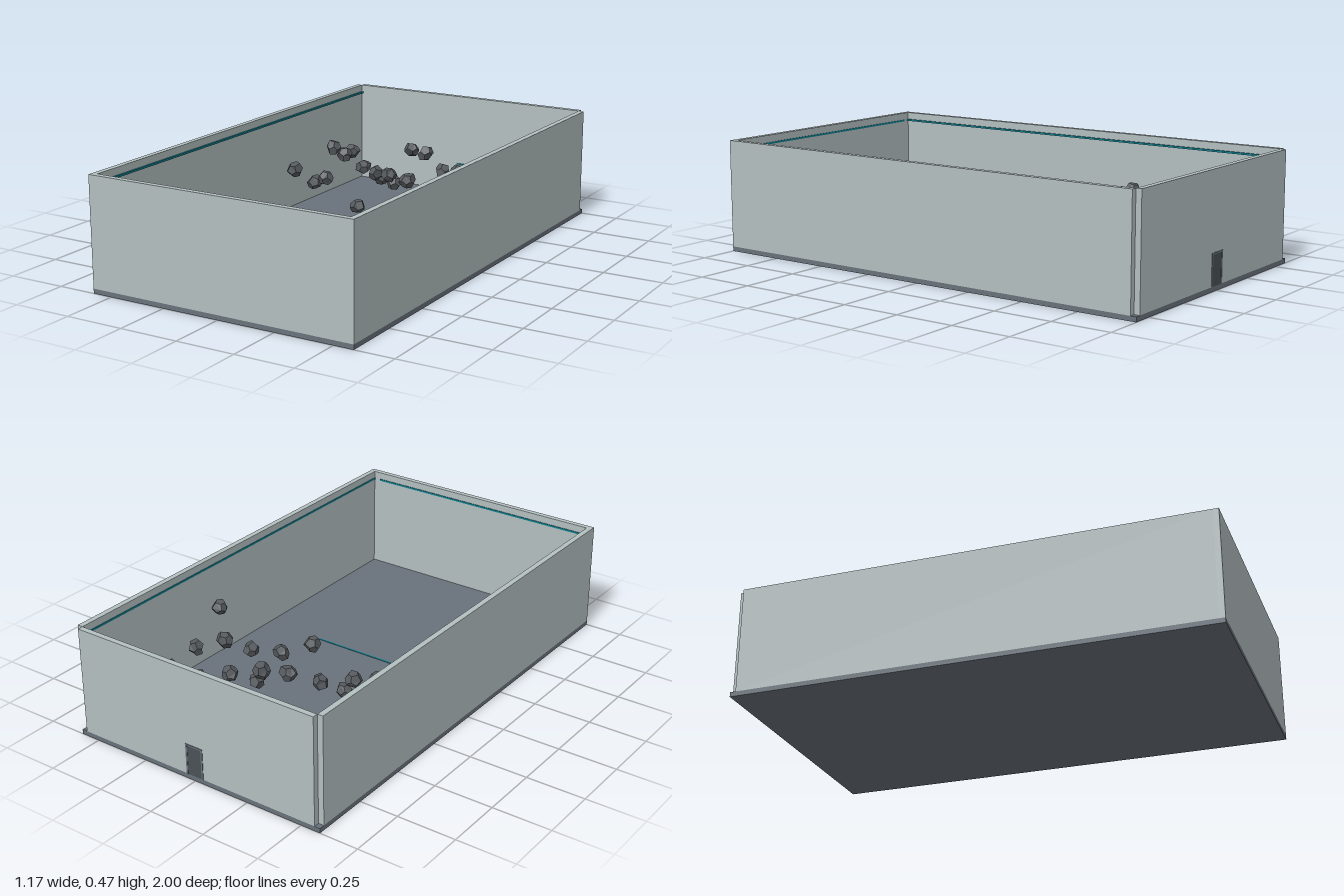
import * as THREE from 'three';

const mat = (name, color) => {
  const m = new THREE.MeshStandardMaterial({ color });
  m.name = name;
  return m;
};

export function createModel() {
  const wall = mat('pale grey wall', 0xb4bfc0);
  const floor = mat('slate floor', 0x69727b);
  const rock = mat('dark rock', 0x565a5e);
  rock.flatShading = true;
  const doorDark = mat('dark door', 0x4a5156);
  const teal = mat('teal light', 0x11808f);

  const model = new THREE.Group();
  model.name = 'hangar';

  // Box given by its minimum and maximum corners
  const box = (name, m, [x0, y0, z0], [x1, y1, z1], parent = model) => {
    const mesh = new THREE.Mesh(new THREE.BoxGeometry(x1 - x0, y1 - y0, z1 - z0), m);
    mesh.position.set((x0 + x1) / 2, (y0 + y1) / 2, (z0 + z1) / 2);
    mesh.name = name;
    parent.add(mesh);
  };

  const W = 0.585, T = 0.024, H = 0.475, F = 0.02;
  const inX = W - T, inZ = 1 - T;

  // Floor slab and the slightly raised rear deck
  box('floorSlab', floor, [-W, 0, -1], [W, F, 1]);
  box('rearDeck', floor, [-inX, F, -inZ], [inX, F + 0.003, -0.17]);

  // Walls, with open notches at the two rear corners
  box('frontWall', wall, [-W, F, inZ], [W, H, 1]);
  box('backWall', wall, [-inX, F, -1], [inX, H, -inZ]);
  box('rightWall', wall, [-W, F, -inZ], [-inX, H, inZ]);
  box('leftWall', wall, [inX, F, -inZ], [W, H, inZ]);

  // Light strips under the wall tops, and the floor marking
  box('rightLightStrip', teal, [-inX, 0.436, -inZ], [-inX + 0.008, 0.444, inZ]);
  box('leftLightStrip', teal, [inX - 0.003, 0.436, -inZ], [inX, 0.444, inZ]);
  box('frontLightStrip', teal, [-0.53, 0.436, inZ - 0.003], [0.53, 0.444, inZ]);
  box('floorLine', teal, [-0.28, F, 0.155], [0.28, F + 0.002, 0.163]);

  // Door through the back wall, framed inside and out
  const door = new THREE.Group();
  door.name = 'door';
  model.add(door);
  box('doorPanel', doorDark, [-0.034, F, -1.001], [0.034, 0.145, -inZ + 0.002], door);
  for (const s of [-1, 1]) {
    box('doorJamb', floor, [s * 0.037 - 0.004, F, -1.002], [s * 0.037 + 0.004, 0.152, -inZ + 0.005], door);
  }
  box('doorLintel', floor, [-0.041, 0.145, -1.002], [0.041, 0.152, -inZ + 0.005], door);
  box('doorLight', teal, [-0.041, 0.152, -inZ], [0.041, 0.156, -inZ + 0.006], door);

  // Floating rocks: four rows of seven, each at its own height
  const rows = [-0.755, -0.59, -0.425, -0.263];
  const heights = [
    [0.206, 0.10, 0.254, 0.172, 0.10, 0.277, 0.19],
    [0.257, 0.188, 0.136, 0.291, 0.225, 0.15, 0.12],
    [0.13, 0.282, 0.219, 0.203, 0.12, 0.257, 0.17],
    [0.225, 0.21, 0.104, 0.265, 0.179, 0.14, 0.289],
  ];
  const rocks = new THREE.Group();
  rocks.name = 'rocks';
  model.add(rocks);
  rows.forEach((z, j) => heights[j].forEach((y, i) => {
    const geo = new THREE.DodecahedronGeometry(0.036, 0);
    const p = geo.attributes.position, v = new THREE.Vector3();
    const seed = 1 + i * 3.7 + j * 11.3;
    for (let k = 0; k < p.count; k++) {
      v.fromBufferAttribute(p, k);
      // Uneven radius that depends only on direction, so faces stay joined
      const n = Math.sin(v.x * 95 + seed) + Math.sin(v.y * 110 + seed * 2.1) + Math.sin(v.z * 87 + seed * 3.3);
      v.multiplyScalar(0.97 + 0.07 * n);
      p.setXYZ(k, v.x, v.y, v.z);
    }
    geo.computeVertexNormals();
    const mesh = new THREE.Mesh(geo, rock);
    mesh.name = 'rock';
    mesh.position.set((i - 3) * 0.16, y, z);
    mesh.rotation.set(seed, seed * 1.7, seed * 0.6);
    rocks.add(mesh);
  }));

  return model;
}
